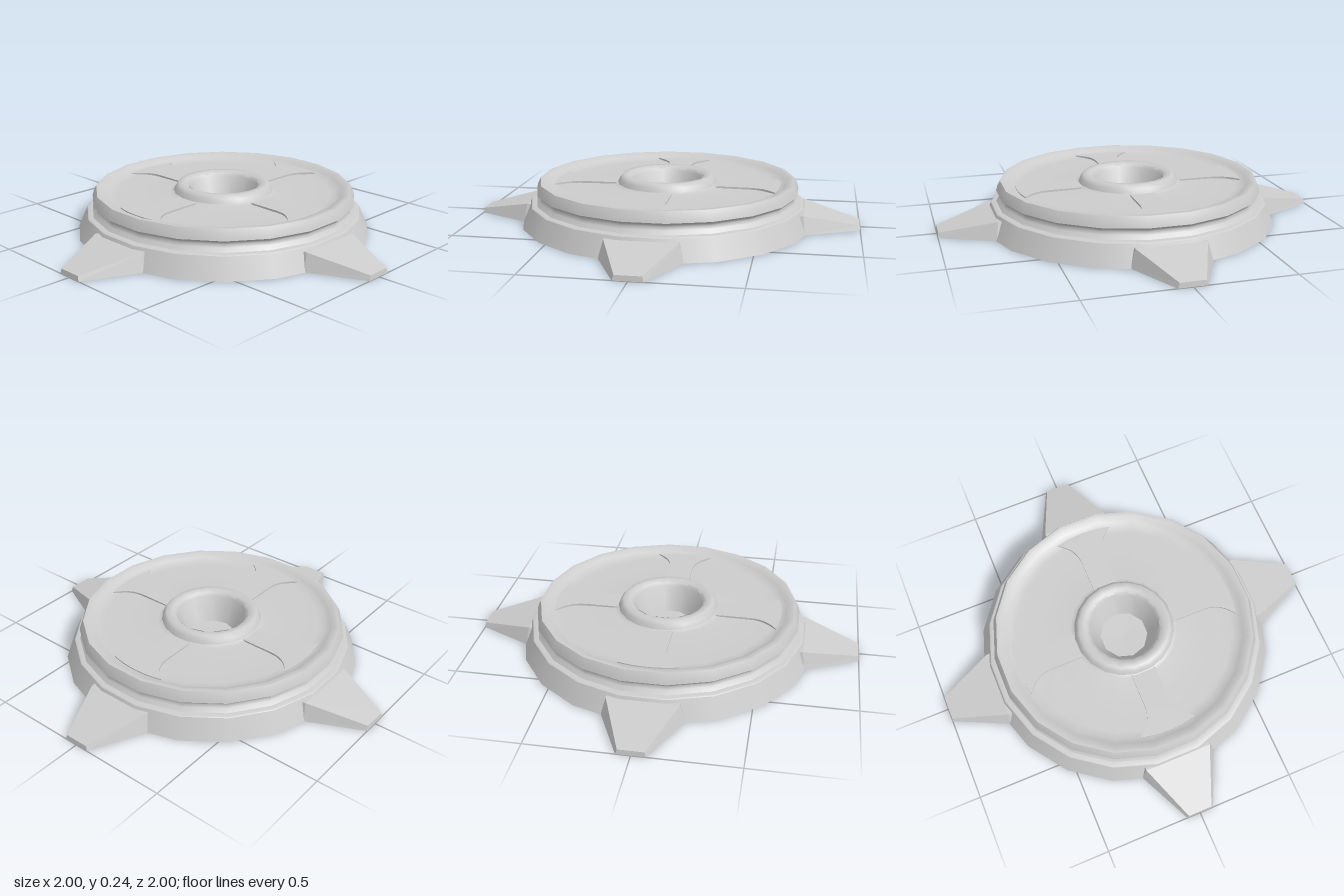
import * as THREE from 'three';

const SIDES = 20;
const material = new THREE.MeshStandardMaterial({ color: 0xcccccc, side: THREE.DoubleSide });

// Ring turned from a short profile of [radius, height], listed from outside bottom to inside
function turned(name, profile, sides = SIDES) {
  const points = profile.map(([r, y]) => new THREE.Vector2(r, y));
  const mesh = new THREE.Mesh(new THREE.LatheGeometry(points, sides, Math.PI / sides), material);
  mesh.name = name;
  return mesh;
}

// Hollow tapering wedge along +x, open underneath
function spikeGeometry() {
  // [x at floor, x at top, half width at floor, half width at top, height]
  const sections = [[0.70, 0.69, 0.2, 0.175, 0.09], [0.725, 0.715, 0.2, 0.175, 0.09], [1, 0.997, 0.07, 0.062, 0.025]];
  const corners = sections.map(([x, xt, w, wt, h]) => [[x, 0, w], [xt, h, wt], [xt, h, -wt], [x, 0, -w]]);
  const positions = [];
  const quad = (a, b, c, d) => positions.push(...a, ...b, ...c, ...a, ...c, ...d);
  for (let i = 0; i < corners.length - 1; i++) {
    const p = corners[i], q = corners[i + 1];
    for (let k = 0; k < 3; k++) quad(p[k], q[k], q[k + 1], p[k + 1]);
  }
  const tip = corners[corners.length - 1], root = corners[0];
  quad(tip[0], tip[3], tip[2], tip[1]);
  quad(root[0], root[1], root[2], root[3]);
  const geometry = new THREE.BufferGeometry();
  geometry.setAttribute('position', new THREE.Float32BufferAttribute(positions, 3));
  geometry.computeVertexNormals();
  return geometry;
}

// Raised spoke that flares outward where it meets the rim
function spokeGeometry() {
  const s = new THREE.Shape();
  s.moveTo(0.24, -0.065);
  s.lineTo(0.43, -0.065);
  s.bezierCurveTo(0.5, -0.068, 0.535, -0.1, 0.57, -0.15);
  s.quadraticCurveTo(0.61, 0, 0.57, 0.15);
  s.bezierCurveTo(0.535, 0.1, 0.5, 0.068, 0.43, 0.065);
  s.lineTo(0.24, 0.065);
  s.closePath();
  const geometry = new THREE.ExtrudeGeometry(s, { depth: 0.012, bevelEnabled: false, curveSegments: 8 });
  return geometry.rotateX(-Math.PI / 2).translate(0, 0.186, 0);
}

export function createModel() {
  const model = new THREE.Group();
  model.name = 'spikedDisc';

  // Sloping skirt and its flange
  model.add(turned('skirt', [[0.765, 0], [0.718, 0.105]]));
  model.add(turned('flange', [[0.718, 0.105], [0.712, 0.11], [0.69, 0.112]]));

  // Grooved neck, rounded rim and dished plate
  model.add(turned('neck', [[0.69, 0.112], [0.675, 0.13], [0.667, 0.145], [0.675, 0.157], [0.688, 0.167]]));
  model.add(turned('rim', [[0.688, 0.167], [0.68, 0.195], [0.667, 0.22]]));
  model.add(turned('plate', [[0.667, 0.22], [0.645, 0.22], [0.62, 0.205], [0.595, 0.192], [0.56, 0.188],
    [0.42, 0.188], [0.28, 0.19], [0.26, 0.2]]));

  // Central hub with a deep tapered cup
  model.add(turned('hub', [[0.26, 0.2], [0.25, 0.222], [0.235, 0.24], [0.205, 0.24], [0.185, 0.225]]));
  model.add(turned('cup', [[0.197, 0.232], [0.18, 0.215], [0.125, 0.09]], 10));
  model.add(turned('cupFloor', [[0.125, 0.09], [0, 0.085]], 10));

  // Four spokes and four spikes
  const spoke = spokeGeometry();
  const spike = spikeGeometry();
  for (let i = 0; i < 4; i++) {
    for (const [name, geometry] of [['spoke', spoke], ['spike', spike]]) {
      const mesh = new THREE.Mesh(geometry, material);
      mesh.name = name + (i + 1);
      mesh.rotation.y = i * Math.PI / 2;
      model.add(mesh);
    }
  }
  return model;
}
